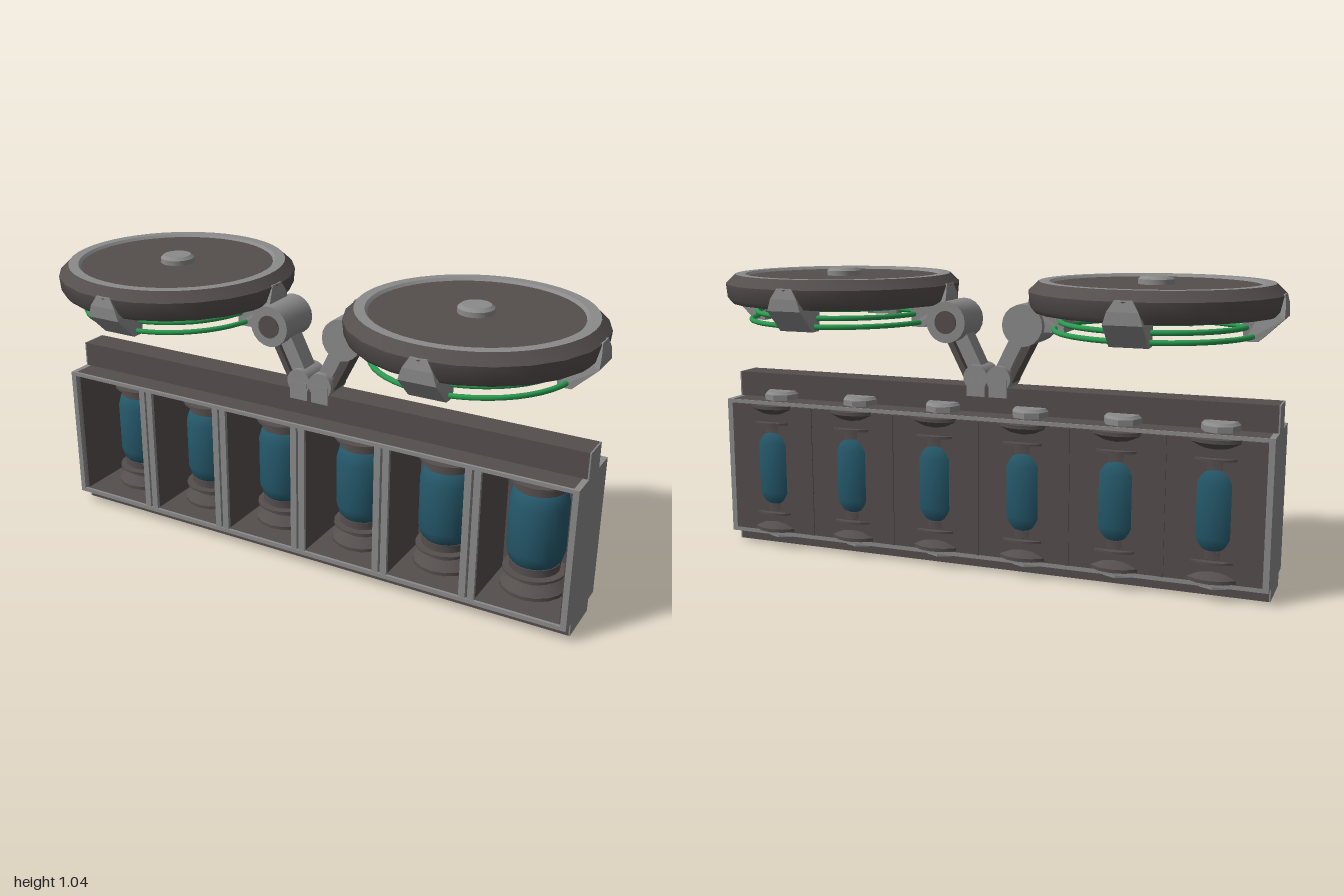
import * as THREE from 'three';
import { toCreasedNormals } from 'three/addons/utils/BufferGeometryUtils.js';

const mat = (name, color) => Object.assign(new THREE.MeshStandardMaterial({ color }), { name });
const light = mat('light grey metal', 0x8a8a8a);
const dark = mat('dark grey metal', 0x544e4d);
const teal = mat('teal glass', 0x25586a);
const green = mat('green coil', 0x2a9c50);

function add(parent, name, geometry, material, x = 0, y = 0, z = 0) {
  const mesh = new THREE.Mesh(geometry, material);
  mesh.name = name;
  mesh.position.set(x, y, z);
  parent.add(mesh);
  return mesh;
}

// Box given by its limits on each axis
const block = (parent, name, material, [x0, x1], [y0, y1], [z0, z1]) =>
  add(parent, name, new THREE.BoxGeometry(x1 - x0, y1 - y0, z1 - z0), material,
    (x0 + x1) / 2, (y0 + y1) / 2, (z0 + z1) / 2);

// Turned part; profile pairs (radius, height) run upward along the outside
const turned = (profile, sides, crease = 0.6) => toCreasedNormals(
  new THREE.LatheGeometry(profile.map(([r, y]) => new THREE.Vector2(r, y)), sides), crease);

// Bar in the x-y plane between two points
function bar(parent, name, material, [x0, y0], [x1, y1], width, depth, z = 0) {
  const geometry = new THREE.BoxGeometry(width, Math.hypot(x1 - x0, y1 - y0), depth);
  const mesh = add(parent, name, geometry, material, (x0 + x1) / 2, (y0 + y1) / 2, z);
  mesh.rotation.z = -Math.atan2(x1 - x0, y1 - y0);
}

const PITCH = 0.326;

function createCabinet() {
  const g = new THREE.Group();
  g.name = 'cabinet';

  // Shell, open at the front
  block(g, 'backPanel', dark, [-0.98, 0.98], [0.06, 0.535], [-0.14, -0.125]);
  block(g, 'roof', dark, [-0.98, 0.98], [0.535, 0.55], [-0.135, 0.13]);
  block(g, 'floor', dark, [-0.98, 0.98], [0.045, 0.06], [-0.135, 0.13]);
  block(g, 'topRail', dark, [-0.995, 0.995], [0.55, 0.64], [-0.05, 0.05]);
  block(g, 'baseRail', dark, [-0.995, 0.995], [0, 0.045], [-0.088, 0.088]);
  for (const z of [[0.13, 0.14], [-0.14, -0.135]]) {
    block(g, 'upperTrim', light, [-0.98, 0.98], [0.537, 0.55], z);
    block(g, 'lowerTrim', light, [-0.98, 0.98], [0.045, 0.06], z);
  }

  // End plates
  for (const s of [-1, 1]) {
    const span = (a, b) => (s > 0 ? [a, b] : [-b, -a]);
    block(g, 'endPlate', light, span(0.98, 1), [0.045, 0.55], [-0.14, 0.14]);
    block(g, 'endLiner', dark, span(0.972, 0.98), [0.06, 0.535], [-0.125, 0.125]);
    block(g, 'railEnd', light, span(0.995, 1), [0.55, 0.64], [-0.05, 0.05]);
    block(g, 'baseEnd', light, span(0.995, 1), [0, 0.045], [-0.088, 0.088]);
  }

  // Dividers with paired front trims
  for (let i = -2; i <= 2; i++) {
    const x = i * PITCH;
    block(g, 'divider', dark, [x - 0.026, x + 0.026], [0.06, 0.535], [-0.125, 0.125]);
    block(g, 'backSeam', dark, [x - 0.005, x + 0.005], [0.06, 0.535], [-0.144, -0.14]);
    for (const s of [-1, 1])
      block(g, 'dividerTrim', light, [x + s * 0.016 - 0.012, x + s * 0.016 + 0.012], [0.06, 0.537], [0.125, 0.138]);
  }
  return g;
}

function createCanister() {
  const g = new THREE.Group();
  g.name = 'canister';
  add(g, 'glass', turned([[0, 0.155], [0.075, 0.155], [0.09, 0.175], [0.1, 0.21], [0.1, 0.39],
    [0.09, 0.425], [0.075, 0.445], [0, 0.445]], 24, 1), teal);

  // Matching fittings above and below the glass
  const fittings = [
    ['collar', dark, 20, [[0.07, 0.435], [0.086, 0.435], [0.086, 0.462], [0.075, 0.466], [0.075, 0.515], [0, 0.515]]],
    ['thinRing', dark, 20, [[0.07, 0.466], [0.108, 0.466], [0.108, 0.474], [0.07, 0.474]]],
    ['flange', dark, 16, [[0.07, 0.495], [0.097, 0.51], [0.115, 0.525], [0.115, 0.537], [0, 0.537]]],
    ['endCap', light, 8, [[0.065, 0.53], [0.065, 0.57], [0.055, 0.58], [0, 0.58]]],
  ];
  for (const [name, material, sides, profile] of fittings) {
    add(g, name, turned(profile, sides), material);
    const flipped = profile.map(([r, y]) => [r, 0.6 - y]).reverse();
    add(g, name, turned(flipped, sides), material);
  }
  return g;
}

// Clip on the rim: radial profile, narrowing toward its top
function clawGeometry() {
  const shape = new THREE.Shape([[0.29, 0.925], [0.3, 0.84], [0.345, 0.84], [0.424, 0.915],
    [0.424, 0.955], [0.418, 0.99], [0.36, 0.99], [0.36, 0.955]].map(p => new THREE.Vector2(...p)));
  const geometry = new THREE.ExtrudeGeometry(shape, { depth: 0.124, bevelEnabled: false });
  geometry.translate(0, 0, -0.062);
  const p = geometry.attributes.position;
  for (let i = 0; i < p.count; i++) {
    const y = p.getY(i);
    p.setZ(i, p.getZ(i) * (y > 0.97 ? 0.45 : y > 0.94 ? 0.8 : 1));
  }
  geometry.computeVertexNormals();
  return geometry;
}

function createDish() {
  const g = new THREE.Group();
  g.name = 'dish';
  // Rim and top
  add(g, 'rim', turned([[0.325, 0.95], [0.335, 0.925], [0.4, 0.918], [0.415, 0.935],
    [0.42, 0.985], [0.385, 1.018]], 24, 0.8), dark);
  add(g, 'rimTop', turned([[0.385, 1.018], [0.35, 1.018], [0.34, 1.008]], 48), light);
  add(g, 'lid', turned([[0, 0.95], [0.34, 0.95], [0.342, 1.009], [0, 1.009]], 48), dark);
  add(g, 'hub', turned([[0.06, 1.005], [0.06, 1.026], [0.048, 1.036], [0, 1.036]], 24), light);

  // Fittings under the lid
  block(g, 'crossBar', dark, [-0.33, 0.33], [0.935, 0.952], [-0.012, 0.012]);
  block(g, 'lowerHub', light, [-0.025, 0.025], [0.915, 0.95], [-0.025, 0.025]);

  // Three coils widening downward
  for (const [r, y] of [[0.29, 0.912], [0.312, 0.884], [0.333, 0.856]])
    add(g, 'coil', new THREE.TorusGeometry(r, 0.009, 8, 48).rotateX(Math.PI / 2), green, 0, y, 0);

  const claw = clawGeometry();
  for (let i = 0; i < 4; i++)
    add(g, 'claw', claw, light).rotation.y = i * Math.PI / 2;
  return g;
}

function createArm() {
  const g = new THREE.Group();
  g.name = 'arm';
  const disc = (r, h) => toCreasedNormals(new THREE.CylinderGeometry(r, r, h, 20).rotateX(Math.PI / 2), 0.6);

  // Elbow with a dark inset on one face
  add(g, 'elbow', disc(0.072, 0.17), light, 0.14, 0.862, 0);
  add(g, 'elbowInset', disc(0.04, 0.008), dark, 0.14, 0.862, -0.085);
  block(g, 'dishBracket', light, [0.15, 0.28], [0.84, 0.915], [-0.06, 0.06]);

  // Main bar and outer strut
  bar(g, 'mainBar', light, [0.03, 0.66], [0.125, 0.85], 0.05, 0.07);
  bar(g, 'strut', dark, [0.078, 0.66], [0.165, 0.83], 0.02, 0.076);

  // Clamp on the rail
  add(g, 'knuckle', disc(0.045, 0.11), light, 0.042, 0.67, 0);
  block(g, 'clamp', light, [0.008, 0.075], [0.605, 0.67], [-0.056, 0.056]);
  return g;
}

export function createModel() {
  const model = new THREE.Group();
  model.name = 'canisterRack';
  model.add(createCabinet());

  for (let i = 0; i < 6; i++) {
    const canister = createCanister();
    canister.position.set((i - 2.5) * PITCH, 0, -0.058);
    model.add(canister);
  }

  // The second arm and dish are the first turned half round
  for (const turn of [0, Math.PI]) {
    const side = new THREE.Group();
    side.name = turn ? 'rightDishAssembly' : 'leftDishAssembly';
    const dish = createDish();
    dish.position.x = 0.576;
    side.add(dish, createArm());
    side.rotation.y = turn;
    model.add(side);
  }
  return model;
}
